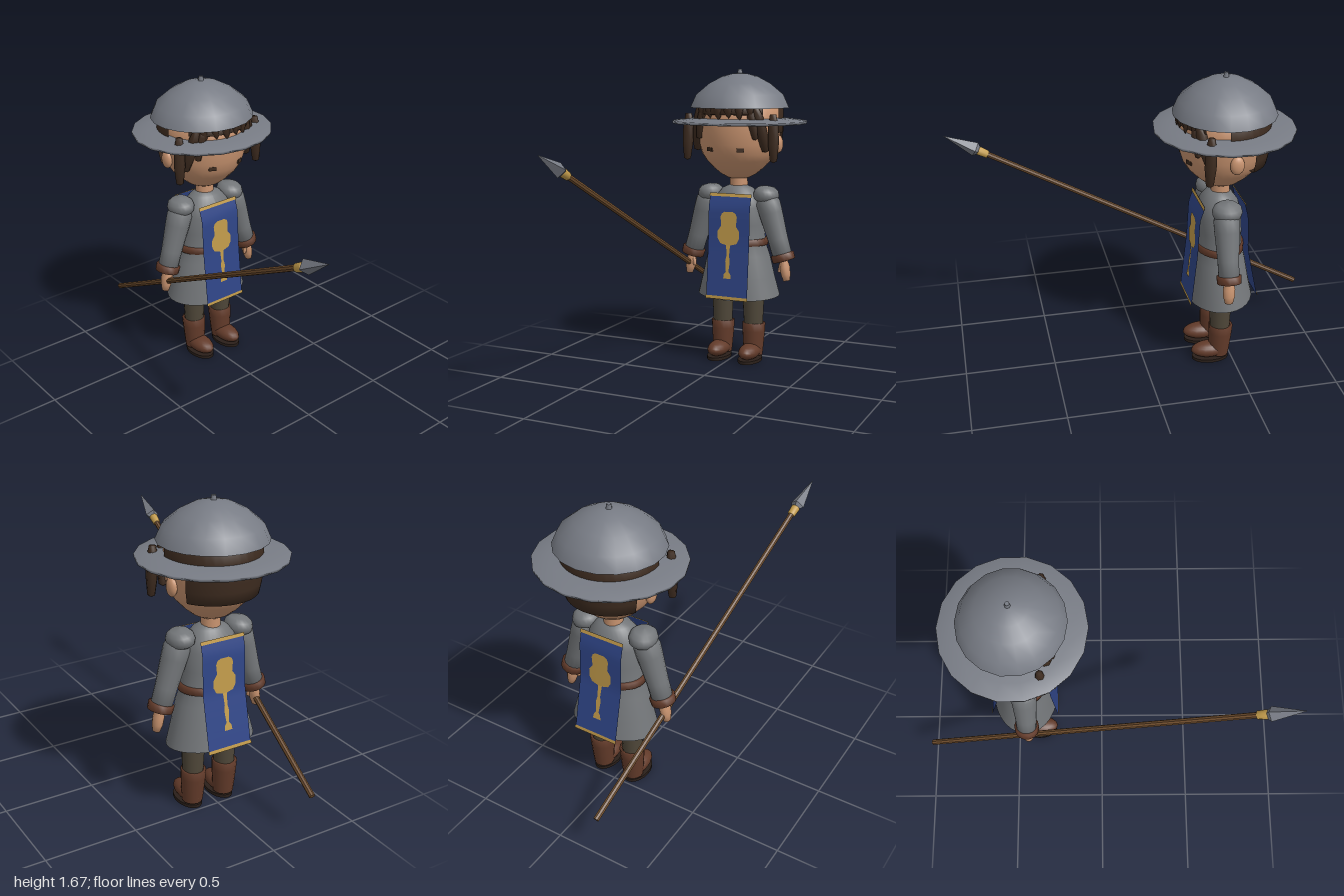
import * as THREE from 'three';

const mat = (name, color, side = THREE.FrontSide) => {
  const m = new THREE.MeshStandardMaterial({ color, side });
  m.name = name;
  return m;
};

export function createModel() {
  const D = THREE.DoubleSide;
  const steel = mat('steel grey', 0x777b84, D);
  const cloth = mat('tunic grey', 0x737679, D);
  const skin = mat('skin', 0xc8936f);
  const hair = mat('dark brown hair', 0x3d2b1f, D);
  const blue = mat('banner blue', 0x2f4587, D);
  const gold = mat('gold', 0xc29b4b, D);
  const wood = mat('wood', 0x6f4d2d);
  const trousers = mat('trouser olive', 0x4f4739);
  const leather = mat('brown leather', 0x633b2a, D);
  const sole = mat('dark sole', 0x2a1f19);

  const model = new THREE.Group();
  const body = new THREE.Group();
  body.name = 'soldier';
  body.position.set(0.02, 0, -0.43);
  model.add(body);

  const add = (name, geo, m, pos = [0, 0, 0], parent = body) => {
    const mesh = new THREE.Mesh(geo, m);
    mesh.name = name;
    mesh.position.set(...pos);
    parent.add(mesh);
    return mesh;
  };
  const lathe = (pts, segs = 24, start = 0, len = Math.PI * 2) =>
    new THREE.LatheGeometry(pts.map(p => new THREE.Vector2(p[0], p[1])), segs, start, len);
  const ball = (name, m, pos, scale) => {
    const mesh = add(name, new THREE.SphereGeometry(1, 16, 12), m, pos);
    mesh.scale.set(...scale);
    return mesh;
  };
  // Round piece from a to b; profile rows are [radius, fraction of length]
  const between = (name, m, a, b, profile, { segs = 14, sx = 1, sz = 1, flat = false, parent = body } = {}) => {
    const A = new THREE.Vector3(...a), dir = new THREE.Vector3(...b).sub(A);
    let geo = lathe(profile, segs).scale(sx, dir.length(), sz);
    if (flat) { geo = geo.toNonIndexed(); geo.computeVertexNormals(); }
    const mesh = add(name, geo, m, a, parent);
    mesh.quaternion.setFromUnitVectors(new THREE.Vector3(0, 1, 0), dir.normalize());
    return mesh;
  };

  // Tunic and belt: oval sections, deeper and set further back towards the hem
  const oval = geo => {
    const p = geo.attributes.position;
    for (let i = 0; i < p.count; i++) {
      const y = p.getY(i), k = THREE.MathUtils.clamp((0.9 - y) / 0.51, 0, 1);
      const z = p.getZ(i) * (0.8 - 0.06 * k) + 0.007 - 0.017 * k;
      p.setZ(i, z);
      if (y < 0.45) p.setY(i, y - z * 0.07);
    }
    geo.computeVertexNormals();
    return geo;
  };
  add('tunic', oval(lathe([[0.245, 0.385], [0.215, 0.5], [0.187, 0.62], [0.16, 0.7], [0.158, 0.8],
    [0.15, 0.9], [0.13, 0.96], [0.09, 1.005], [0.045, 1.025], [0, 1.025]], 28)), cloth);
  add('belt', oval(lathe([[0.155, 0.68], [0.175, 0.682], [0.175, 0.718], [0.155, 0.72]], 28)), leather);

  // Banners front and back, draped along a (y, z) line
  const drapes = {
    front: [[0.38, 0.175], [0.7, 0.147], [0.9, 0.14], [0.98, 0.115]],
    back: [[0.4, -0.2], [0.7, -0.135], [0.9, -0.126], [0.98, -0.105]],
  };
  const drape = (geo, line, off) => {
    const p = geo.attributes.position;
    for (let i = 0; i < p.count; i++) {
      const y = p.getY(i);
      let j = 0;
      while (j < line.length - 2 && y > line[j + 1][0]) j++;
      const [y0, z0] = line[j], [y1, z1] = line[j + 1];
      p.setZ(i, z0 + (z1 - z0) * (y - y0) / (y1 - y0) + Math.sign(z0) * off);
    }
    geo.computeVertexNormals();
    return geo;
  };
  const sheet = (w, y0, y1, n) => new THREE.PlaneGeometry(w, y1 - y0, 1, n).translate(0, (y0 + y1) / 2, 0);
  const mirrored = half => new THREE.ShapeGeometry(new THREE.Shape([
    ...half.map(([x, y]) => new THREE.Vector2(x, y)),
    ...half.slice().reverse().map(([x, y]) => new THREE.Vector2(-x, y))]));
  const cup = [[0.012, 0.69], [0.05, 0.7], [0.066, 0.73], [0.066, 0.77], [0.045, 0.8], [0.05, 0.85], [0.042, 0.87], [0.025, 0.88]];
  const stem = [[0.023, 0.5], [0.02, 0.525], [0.008, 0.54], [0.014, 0.6], [0.008, 0.63], [0.012, 0.69]];
  for (const [side, line] of Object.entries(drapes)) {
    const low = line[0][0];
    add(side + 'Banner', drape(sheet(0.252, low, 0.98, 16), line, 0), blue);
    add(side + 'BannerTopTrim', drape(sheet(0.256, 0.964, 0.982, 1), line, 0.004), gold);
    add(side + 'BannerBottomTrim', drape(sheet(0.256, low, low + 0.018, 1), line, 0.004), gold);
    add(side + 'CupOrnament', drape(mirrored(cup), line, 0.004), gold);
    add(side + 'CupStem', drape(mirrored(stem), line, 0.004), gold);
  }

  // Head and neck
  add('neck', new THREE.CylinderGeometry(0.05, 0.052, 0.1, 16), skin, [0, 1.045, 0]);
  add('head', lathe([[0, 1.06], [0.06, 1.064], [0.1, 1.085], [0.142, 1.12], [0.185, 1.165], [0.21, 1.205], [0.228, 1.26],
    [0.236, 1.33], [0.238, 1.4], [0.23, 1.46], [0.18, 1.53], [0.1, 1.58], [0, 1.6]], 28), skin);

  // Back hair: wide band above the ears, narrower panel at the nape
  const arc = (pts, deg) => lathe(pts, 20, THREE.MathUtils.degToRad(deg), THREE.MathUtils.degToRad(360 - 2 * deg));
  add('upperHair', arc([[0.22, 1.325], [0.251, 1.325], [0.253, 1.4], [0.25, 1.48], [0.2, 1.53]], 83), hair);
  add('napeHair', arc([[0.2, 1.2], [0.236, 1.2], [0.248, 1.26], [0.251, 1.325]], 118), hair);
  add('fringeBand', lathe([[0.225, 1.425], [0.247, 1.43], [0.245, 1.48], [0.2, 1.52]], 16, -0.95, 1.9), hair);

  // Fringe tufts
  const tuft = [[0, 0], [0.016, 0.3], [0.03, 0.7], [0.026, 1], [0, 1]];
  for (let i = 0; i < 6; i++) {
    const a = -0.62 + i * 0.248, s = Math.sin(a), c = Math.cos(a);
    between('fringeTuft', hair, [0.243 * s + 0.01, 1.395 + (i % 2) * 0.012, 0.243 * c], [0.236 * s, 1.48, 0.236 * c],
      tuft, { segs: 6, sz: 0.6 });
  }

  // Paired parts
  const lock = [[0, 0], [0.02, 0.04], [0.031, 0.4], [0.03, 0.75], [0.018, 1], [0, 1]];
  for (const s of [1, -1]) {
    const side = s > 0 ? 'left' : 'right';
    between(side + 'OuterLock', hair, [s * 0.262, 1.165, 0.135], [s * 0.255, 1.43, 0.13], lock, { segs: 7 });
    between(side + 'FrontLock', hair, [s * 0.21, 1.22, 0.11], [s * 0.165, 1.47, 0.175], lock, { segs: 7, sx: 1.1 });
    between(side + 'TempleLock', hair, [s * 0.17, 1.29, 0.175], [s * 0.14, 1.47, 0.19], lock, { segs: 7, sx: 0.8, sz: 0.7 });
    ball(side + 'Ear', skin, [s * 0.235, 1.26, -0.015], [0.024, 0.05, 0.038]);
    const eye = add(side + 'Eye', new THREE.BoxGeometry(0.04, 0.022, 0.009), hair, [s * 0.092, 1.235, 0.2]);
    eye.rotation.y = s * 0.43;

    // Arm, pad, cuff and hand
    between(side + 'Sleeve', cloth, [s * 0.283, 0.61, 0.015], [s * 0.17, 0.98, 0.015],
      [[0, 0], [0.056, 0], [0.058, 0.3], [0.068, 0.7], [0.07, 0.85], [0.05, 1], [0, 1.02]]);
    between(side + 'Cuff', leather, [s * 0.287, 0.6, 0.015], [s * 0.274, 0.643, 0.015],
      [[0.05, 0], [0.066, 0.04], [0.068, 0.9], [0.05, 1]]);
    const pad = add(side + 'ShoulderPad', lathe([[0.055, -0.035], [0.068, -0.025], [0.073, 0], [0.066, 0.025], [0.045, 0.044],
      [0, 0.052]], 20), cloth, [s * 0.172, 0.972, 0.008]);
    pad.scale.z = 1.12;
    pad.rotation.z = -s * 0.1;
    between(side + 'Hand', skin, [s * 0.306, 0.485, 0.018], [s * 0.283, 0.62, 0.015],
      [[0, 0], [0.022, 0.02], [0.032, 0.3], [0.034, 0.6], [0.026, 0.85], [0.026, 1]], { sx: 0.85 });
    between(side + 'Thumb', skin, [s * 0.263, 0.532, 0.032], [s * 0.28, 0.6, 0.022],
      [[0, 0], [0.01, 0.08], [0.013, 0.5], [0.012, 1]], { segs: 8 });

    // Leg and boot
    const x = s * 0.097;
    between(side + 'Trouser', trousers, [x, 0.18, 0], [x * 0.98, 0.5, 0.002], [[0.054, 0], [0.063, 0.6], [0.065, 1]]);
    between(side + 'BootShaft', leather, [x, 0.03, 0.002], [x, 0.218, -0.006],
      [[0.055, 0], [0.06, 0.3], [0.066, 0.75], [0.068, 1], [0.054, 1]]);
    ball(side + 'BootFoot', leather, [x, 0.06, 0.052], [0.058, 0.046, 0.11]);
    const base = add(side + 'Sole', new THREE.CylinderGeometry(1, 1, 0.018, 20), sole, [x, 0.012, 0.05]);
    base.scale.set(0.064, 1, 0.105);
  }

  // Wide brimmed helmet
  const helmet = new THREE.Group();
  helmet.name = 'helmet';
  helmet.scale.z = 0.968;
  helmet.position.z = -0.008;
  body.add(helmet);
  add('helmetDome', lathe([[0.284, 1.462], [0.251, 1.535], [0.176, 1.597], [0.1, 1.637], [0.04, 1.652], [0, 1.655]], 18),
    steel, undefined, helmet);
  add('helmetBrim', lathe([[0.235, 1.39], [0.385, 1.373], [0.387, 1.388], [0.3, 1.4], [0.235, 1.406]], 18),
    steel, undefined, helmet);
  add('helmetKnob', new THREE.CylinderGeometry(0.012, 0.017, 0.035, 8), steel, [0, 1.66, 0], helmet);

  // Spear held in the right hand
  const spear = new THREE.Group();
  spear.name = 'spear';
  model.add(spear);
  const butt = [-0.23, 0.235, -0.992], tip = [-0.385, 1.285, 1];
  const part = (name, m, profile, segs, flat) => between(name, m, butt, tip, profile, { segs, flat, parent: spear });
  part('spearShaft', wood, [[0, 0], [0.016, 0], [0.016, 0.9], [0, 0.9]], 8, true);
  part('spearCollar', gold, [[0.016, 0.885], [0.022, 0.886], [0.025, 0.909], [0.016, 0.911]], 10, false);
  part('spearHead', steel, [[0.012, 0.904], [0.04, 0.918], [0, 1]], 4, true);

  return model;
}
